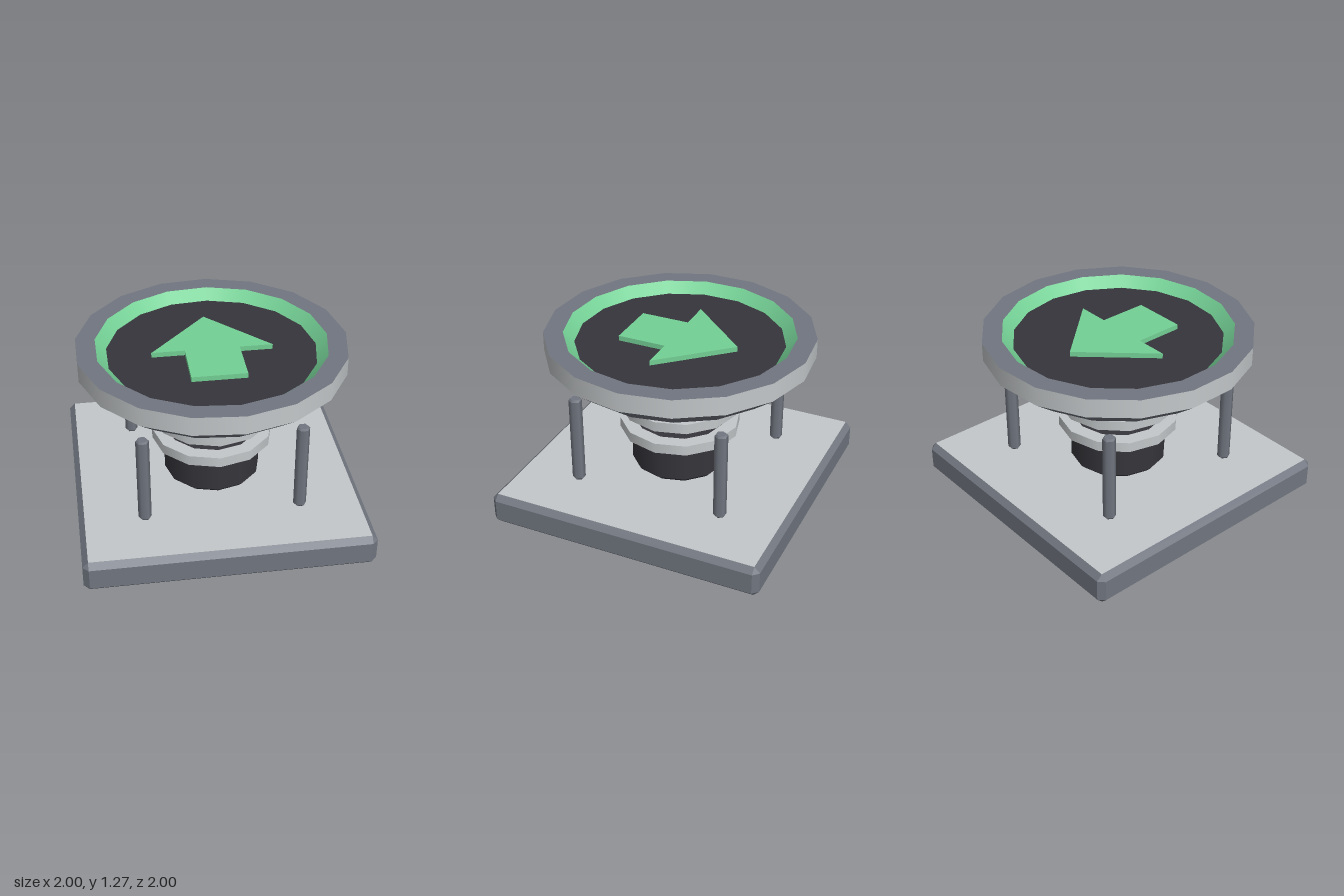
import * as THREE from 'three';
import { ConvexGeometry } from 'three/addons/geometries/ConvexGeometry.js';

const flat = (name, color) => {
  const m = new THREE.MeshStandardMaterial({ color });
  m.name = name;
  return m;
};

// Turned part: each profile step is [r, y, material of the band leading to it], so edges stay crisp.
function turned(name, profile, sides) {
  const group = new THREE.Group();
  group.name = name;
  for (let i = 1; i < profile.length; i++) {
    const [r0, y0] = profile[i - 1];
    const [r1, y1, material] = profile[i];
    const geo = new THREE.LatheGeometry(
      [new THREE.Vector2(r0, y0), new THREE.Vector2(r1, y1)], sides, Math.PI / 2);
    const mesh = new THREE.Mesh(geo, material);
    mesh.name = name + 'Band';
    group.add(mesh);
  }
  return group;
}

// Bevelled square slab, with its top and bottom faces in a second colour.
function slab(half, height, bevel, sideMat, faceMat) {
  const points = [];
  const h = height / 2;
  for (const x of [-1, 1]) for (const y of [-1, 1]) for (const z of [-1, 1]) {
    const a = half - bevel, b = h - bevel;
    points.push(
      new THREE.Vector3(x * half, y * b, z * a),
      new THREE.Vector3(x * a, y * h, z * a),
      new THREE.Vector3(x * a, y * b, z * half));
  }
  const geo = new ConvexGeometry(points);
  const normal = geo.attributes.normal;
  for (let i = 0; i < normal.count; i += 3) {
    geo.addGroup(i, 3, Math.abs(normal.getY(i)) > 0.95 ? 1 : 0);
  }
  const mesh = new THREE.Mesh(geo, [sideMat, faceMat]);
  mesh.position.y = h;
  return mesh;
}

export function createModel() {
  const light = flat('light grey', 0xc4c8ca);
  const grey = flat('slate grey', 0x717680);
  const dark = flat('charcoal', 0x36353b);
  const green = flat('green', 0x74d095);
  const model = new THREE.Group();
  model.name = 'bouncePad';

  // Base plate
  const base = slab(1, 0.232, 0.04, grey, light);
  base.name = 'base';
  model.add(base);

  // Core under the spring
  model.add(turned('core', [
    [0, 0.232], [0.315, 0.232, dark], [0.345, 0.262, dark],
    [0.345, 0.472, dark], [0.315, 0.502, dark], [0, 0.502, dark]], 12));

  // Spring rings
  for (const y of [0.522, 0.697, 0.872]) {
    model.add(turned('springRing', [
      [0.33, y], [0.43, y, light], [0.43, y + 0.074, light],
      [0.33, y + 0.074, light], [0.33, y, light]], 12));
  }

  // Guide rods
  for (const x of [-0.543, 0.543]) for (const z of [-0.543, 0.543]) {
    const rod = turned('guideRod', [
      [0, 0.232], [0.035, 0.232, grey], [0.046, 0.245, grey],
      [0.046, 0.873, grey], [0.035, 0.886, grey], [0, 0.886, grey]], 6);
    rod.position.set(x, 0, z);
    model.add(rod);
  }

  // Dished pad
  model.add(turned('pad', [
    [0, 1.003], [0.77, 1.003, dark], [0.94, 1.138, grey], [0.94, 1.272, light],
    [0.805, 1.272, grey], [0.73, 1.2, green], [0, 1.2, dark]], 17));

  // Raised arrow on the pad
  const outline = [[0, 0.425], [-0.42, -0.03], [-0.19, -0.03], [-0.19, -0.378],
    [0.19, -0.378], [0.19, -0.03], [0.42, -0.03]];
  const arrowGeo = new THREE.ExtrudeGeometry(
    new THREE.Shape(outline.map(([x, y]) => new THREE.Vector2(x, y))),
    { depth: 0.038, bevelEnabled: false });
  arrowGeo.rotateX(-Math.PI / 2);
  const arrow = new THREE.Mesh(arrowGeo, green);
  arrow.name = 'arrow';
  arrow.position.y = 1.198;
  model.add(arrow);

  return model;
}
